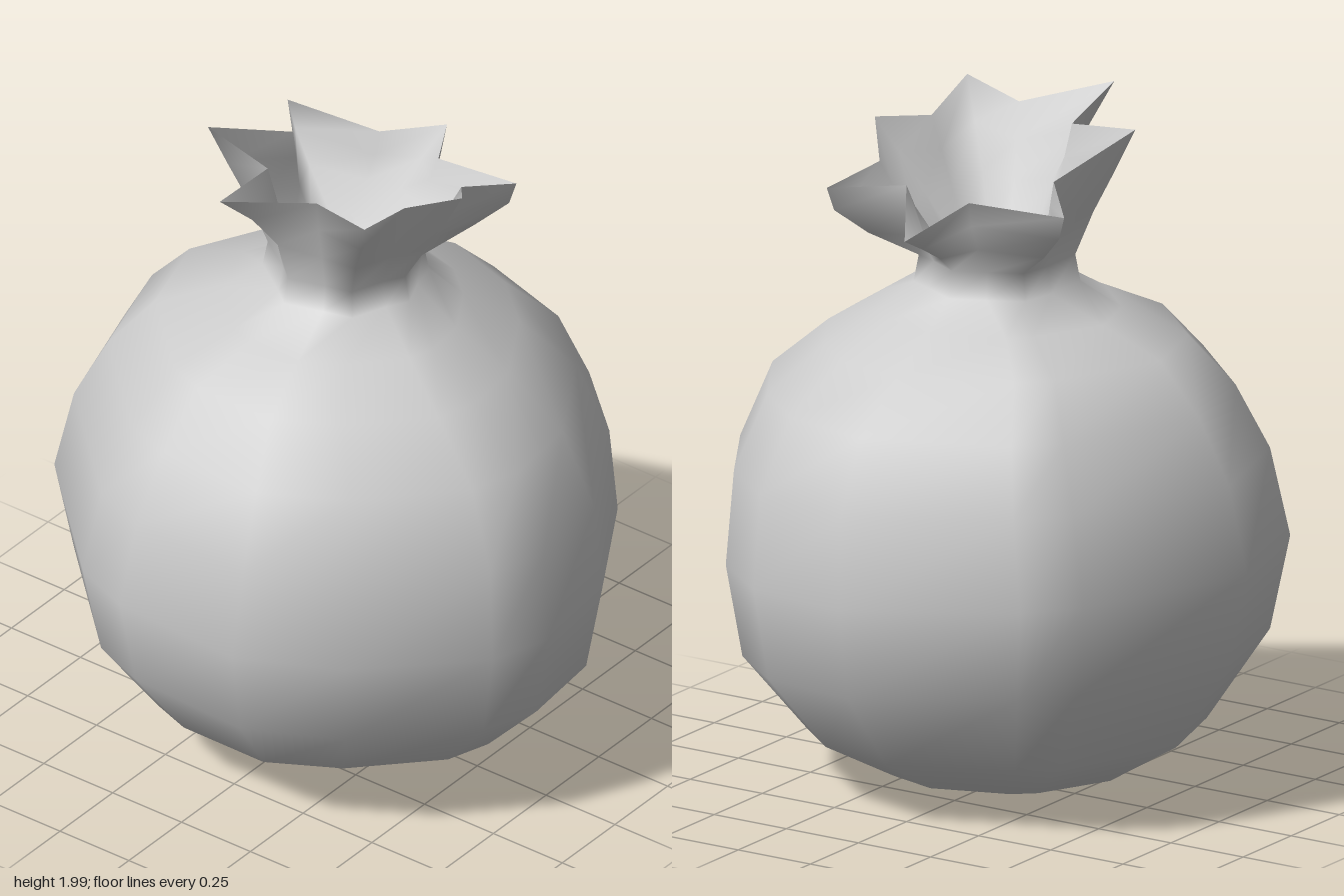
import * as THREE from 'three';

// Widest outline of the body, [x, z], running from +x towards +z
const BODY = [
  [0.81, 0.03], [0.71, 0.39], [0.51, 0.62], [0.16, 0.83], [-0.13, 0.86], [-0.32, 0.8], [-0.64, 0.51],
  [-0.81, 0.23], [-0.82, -0.17], [-0.76, -0.35], [-0.4, -0.73], [0.02, -0.86], [0.51, -0.62], [0.63, -0.48],
];

// Star-shaped rim of the crown, [x, y, z], tips and valleys alternating
const RIM = [
  [0.51, 1.76, 0], [0.26, 1.84, 0.16], [0.33, 1.81, 0.39], [0.16, 1.86, 0.32], [0.02, 1.94, 0.43],
  [-0.11, 1.93, 0.32], [-0.34, 1.99, 0.35], [-0.28, 1.96, 0.13], [-0.49, 2, -0.06], [-0.21, 1.95, -0.1],
  [-0.18, 1.98, -0.34], [0.08, 1.87, -0.23], [0.25, 1.83, -0.38], [0.28, 1.83, -0.07],
];

// How far each fold swells outwards below the rim
const BULGE = [0, 0.25, 0.3, 0.25, 0.08, 0.12, 0.05, 0.1, -0.1, 0.1, 0.05, 0.2, 0.25, 0.25];

// Body rings: [height, scale of outline, front-to-back tilt, shift in z]
const BODY_RINGS = [
  [0.008, 0.14, 0, 0], [0.07, 0.44, 0, 0], [0.195, 0.71, 0.02, 0], [0.44, 0.935, 0.06, 0.005],
  [0.72, 1, 0.065, 0], [0.99, 0.95, 0.05, 0.02], [1.2, 0.83, 0.02, 0.02], [1.35, 0.645, 0.02, 0],
  [1.44, 0.43, 0, 0.015],
];

const N = BODY.length;
const lerp = THREE.MathUtils.lerp;

// Ring around the neck, gathered into soft folds under the crown tips
function neckRing(y, radius, fold) {
  return RIM.map(([x, , z], i) => {
    const rim = new THREE.Vector2(x, z).normalize();
    const dir = new THREE.Vector2(...BODY[i]).normalize().add(rim).normalize();
    const r = radius + (i % 2 ? -fold : fold);
    return [0.012 + dir.x * r, y, 0.012 + dir.y * r];
  });
}

// Ring part-way between the neck and the rim
function flareRing(neck, out, up, inset = 0) {
  return RIM.map((p, i) => {
    const q = neck[i];
    const t = out + BULGE[i];
    return [
      lerp(q[0], p[0], t) * (1 - inset),
      lerp(q[1], p[1], up),
      lerp(q[2], p[2], t) * (1 - inset),
    ];
  });
}

// Skin a stack of rings; an optional point closes the first ring
function loft(rings, cap) {
  const pos = rings.flat(2);
  const index = [];
  for (let r = 0; r < rings.length - 1; r++) {
    for (let i = 0; i < N; i++) {
      const j = (i + 1) % N;
      const a = r * N + i, b = r * N + j;
      index.push(a, a + N, b, b, a + N, b + N);
    }
  }
  if (cap) {
    const c = pos.length / 3;
    pos.push(...cap);
    for (let i = 0; i < N; i++) index.push(c, i, (i + 1) % N);
  }
  const geo = new THREE.BufferGeometry();
  geo.setAttribute('position', new THREE.Float32BufferAttribute(pos, 3));
  geo.setIndex(index);
  geo.computeVertexNormals();
  return geo;
}

export function createModel() {
  const group = new THREE.Group();
  group.name = 'tiedFruit';
  const skin = new THREE.MeshStandardMaterial({ color: 0xcccccc });
  skin.name = 'plain grey';
  const add = (name, geo) => {
    const mesh = new THREE.Mesh(geo, skin);
    mesh.name = name;
    group.add(mesh);
  };

  // Round body, neck and outside of the crown in one smooth skin
  const neck = neckRing(1.6, 0.215, 0.012);
  const body = BODY_RINGS.map(([y, s, tilt, dz]) =>
    BODY.map(([x, z]) => [x * s, y - tilt * z, z * s + dz]));
  add('bodyAndCrown', loft([
    ...body,
    neckRing(1.52, 0.23, 0.012),
    neck,
    flareRing(neck, 0.25, 0.34),
    flareRing(neck, 0.62, 0.68),
    RIM,
  ], [0.0, 0.025, 0.0]));

  // Hollow inside of the crown, narrowing to a funnel
  const throat = neckRing(1.62, 0.15, 0.006);
  add('crownInside', loft([
    RIM,
    flareRing(neck, 0.6, 0.72, 0.05),
    flareRing(neck, 0.22, 0.42, 0.08),
    throat,
    throat.map(([x, , z]) => [x * 0.5, 1.56, z * 0.5]),
    throat.map(() => [0.02, 1.53, -0.02]),
  ]));

  return group;
}
